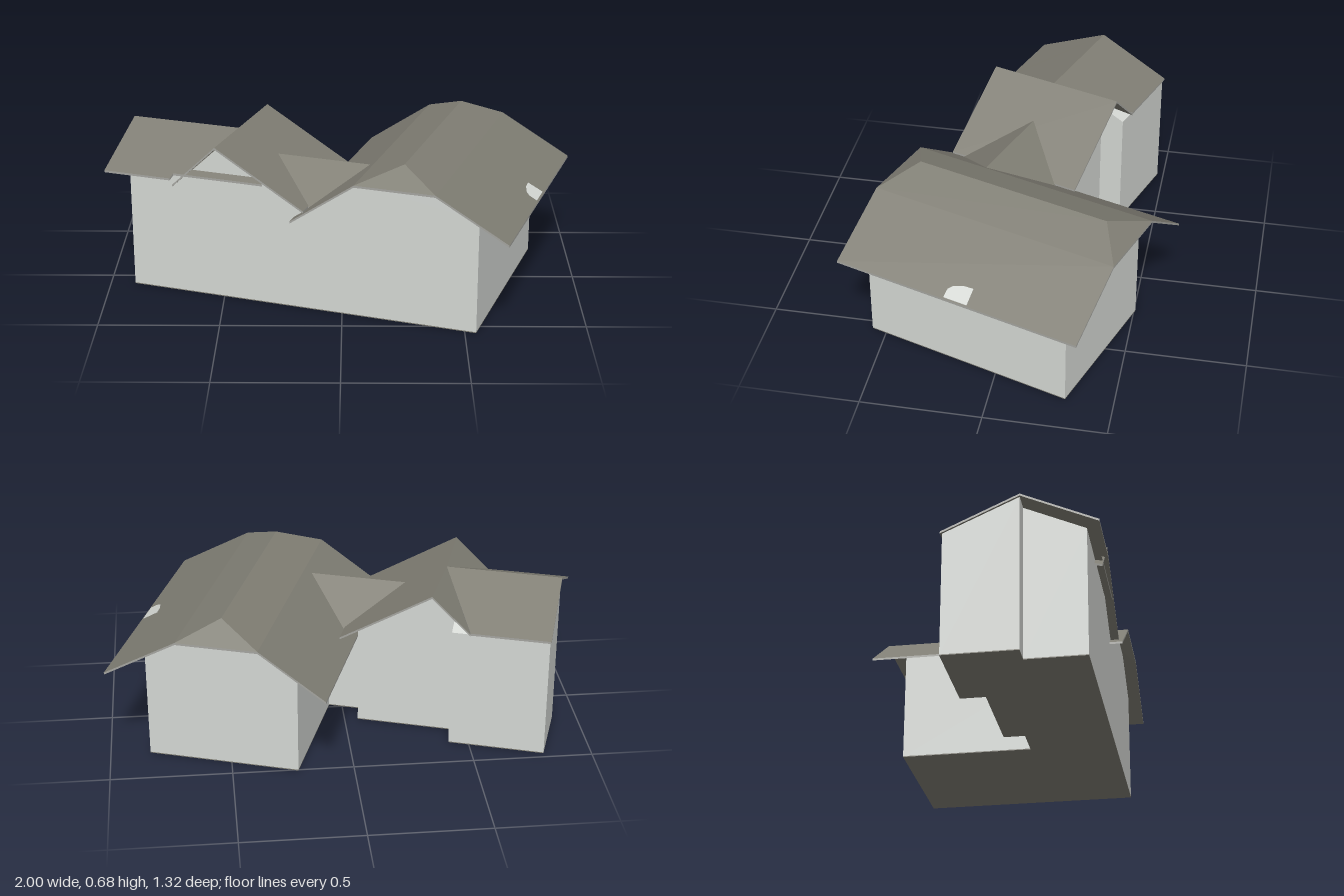
import * as THREE from 'three';

const mat = (name, color) => {
  const m = new THREE.MeshStandardMaterial({ color });
  m.name = name;
  return m;
};

export function createModel() {
  const wall = mat('plaster', 0xd4d7d3);
  const tile = mat('roof tile', 0x7f7d73);
  const trim = mat('roof trim', 0xa4a49f);
  const FLOOR = 0.004;

  const house = new THREE.Group();
  house.name = 'house';
  const add = (name, geometry, material) => {
    const mesh = new THREE.Mesh(geometry, material);
    mesh.name = name;
    house.add(mesh);
  };

  // Wall block with a profile in x,y running along z, or in z,y running along x
  const block = (name, profile, from, to, alongX = false) => {
    const h0 = profile[0][0], h1 = profile.at(-1)[0];
    const shape = new THREE.Shape(
      [[h0, FLOOR], [h1, FLOOR], ...profile.slice().reverse()].map(([h, y]) => new THREE.Vector2(h, y)));
    const geo = new THREE.ExtrudeGeometry(shape, { depth: to - from, bevelEnabled: false });
    const base = new THREE.BoxGeometry(h1 - h0, FLOOR, to - from);
    base.translate((h0 + h1) / 2, FLOOR / 2, (to - from) / 2);
    for (const g of [geo, base]) {
      if (alongX) g.rotateY(-Math.PI / 2).translate(to, 0, 0);
      else g.translate(0, 0, from);
    }
    add(name, geo, wall);
    add(name + 'Floor', base, tile);
  };

  // Roof sheet: upward faces, a copy below, and trim around the outer edges only
  const roof = (name, pts, faces, t = 0.009, mats = [tile, trim]) => {
    const cover = [], edge = [], edges = new Set();
    const low = i => [pts[i][0], pts[i][1] - t, pts[i][2]];
    for (const f of faces) {
      f.forEach((p, i) => edges.add(p + '-' + f[(i + 1) % f.length]));
      for (let i = 1; i < f.length - 1; i++) {
        cover.push(...pts[f[0]], ...pts[f[i]], ...pts[f[i + 1]]);
        cover.push(...low(f[0]), ...low(f[i + 1]), ...low(f[i]));
      }
    }
    for (const e of edges) {
      const [a, b] = e.split('-').map(Number);
      if (edges.has(b + '-' + a)) continue;
      edge.push(...low(a), ...low(b), ...pts[b], ...low(a), ...pts[b], ...pts[a]);
    }
    const geo = new THREE.BufferGeometry();
    geo.setAttribute('position', new THREE.Float32BufferAttribute([...cover, ...edge], 3));
    geo.addGroup(0, cover.length / 3, 0);
    geo.addGroup(cover.length / 3, edge.length / 3, 1);
    geo.computeVertexNormals();
    add(name, geo, mats);
  };

  // Main hall, with its front end lowered beneath the half hip
  block('mainWalls', [[0.058, 0.495], [0.188, 0.587], [0.366, 0.658], [0.528, 0.587], [0.696, 0.492]], -0.553, 0.3);
  block('mainFrontWall', [[0.058, 0.495], [0.188, 0.587], [0.26, 0.616], [0.47, 0.612], [0.528, 0.587], [0.696, 0.492]], 0.3, 0.361);

  // Side wing: the back half reaches the roof edge, the front half is set in
  block('wingBackWalls', [[-0.195, 0.523], [0.11, 0.66]], -0.908, -0.505, true);
  block('wingFrontWalls', [[0.11, 0.66], [0.361, 0.546]], -0.823, -0.42, true);
  block('crossGableWalls', [[-0.585, 0.511], [-0.42, 0.667], [-0.09, 0.469]], 0.1, 0.361);
  block('crossGableBackWalls', [[-0.505, 0.586], [-0.42, 0.667], [-0.09, 0.469]], -0.09, 0.1);
  block('linkWalls', [[-0.09, 0.469], [-0.025, 0.432], [0.058, 0.492]], 0, 0.361);

  // Main roof: two pitches each side and a half hip at both ends
  const B = -0.667, F = 0.416;
  roof('mainRoof', [
    [-0.087, 0.407, B], [-0.087, 0.407, F], [0.188, 0.598, B], [0.188, 0.598, F],
    [0.366, 0.67, -0.553], [0.366, 0.67, 0.301],
    [0.528, 0.598, B], [0.528, 0.598, F], [0.833, 0.427, B], [0.833, 0.427, F],
  ], [[0, 1, 3, 2], [2, 3, 5, 4], [4, 5, 7, 6], [6, 7, 9, 8], [3, 7, 5], [6, 2, 4]]);

  // Wing roof, its front slope running on beneath the cross gable
  roof('wingRoof', [
    [-0.913, 0.672, 0.11], [-0.913, 0.531, 0.42], [-0.615, 0.531, 0.42], [-0.61, 0.544, 0.392],
    [-0.215, 0.544, 0.392], [-0.427, 0.672, 0.11], [-0.583, 0.531, -0.203], [-0.913, 0.531, -0.203],
  ], [[0, 1, 2, 3, 4, 5], [7, 0, 5, 6]]);

  // Cross gable: steep short side, shallow long side
  roof('crossGableRoof', [
    [-0.427, 0.673, 0.11], [-0.615, 0.495, 0.396], [-0.42, 0.68, 0.396], [-0.42, 0.68, -0.203],
    [-0.583, 0.526, -0.203], [-0.036, 0.45, 0.396], [-0.036, 0.45, -0.203],
  ], [[0, 1, 2, 3, 4], [3, 2, 5, 6]]);

  // Small saddle roof bridging the valley
  roof('linkRoof', [
    [-0.25, 0.578, 0.113], [-0.045, 0.447, 0.335], [-0.015, 0.447, 0.335], [0.163, 0.578, 0.113],
    [-0.015, 0.447, -0.11], [-0.045, 0.447, -0.11],
  ], [[0, 1, 2, 3], [5, 0, 3, 4]]);

  // Pale patch lying on the outer slope
  const onSlope = (x, z) => [x, 0.427 + (0.833 - x) * 0.561 + 0.002, z];
  roof('roofPatch', [
    onSlope(0.765, -0.18), onSlope(0.767, -0.135), onSlope(0.78, -0.095), onSlope(0.795, -0.08),
    onSlope(0.828, -0.08), onSlope(0.828, -0.185),
  ], [[0, 1, 2, 3, 4, 5]], 0.003, [wall, wall]);

  house.rotation.y = -0.322;
  const model = new THREE.Group();
  model.name = 'model';
  model.add(house);
  return model;
}
